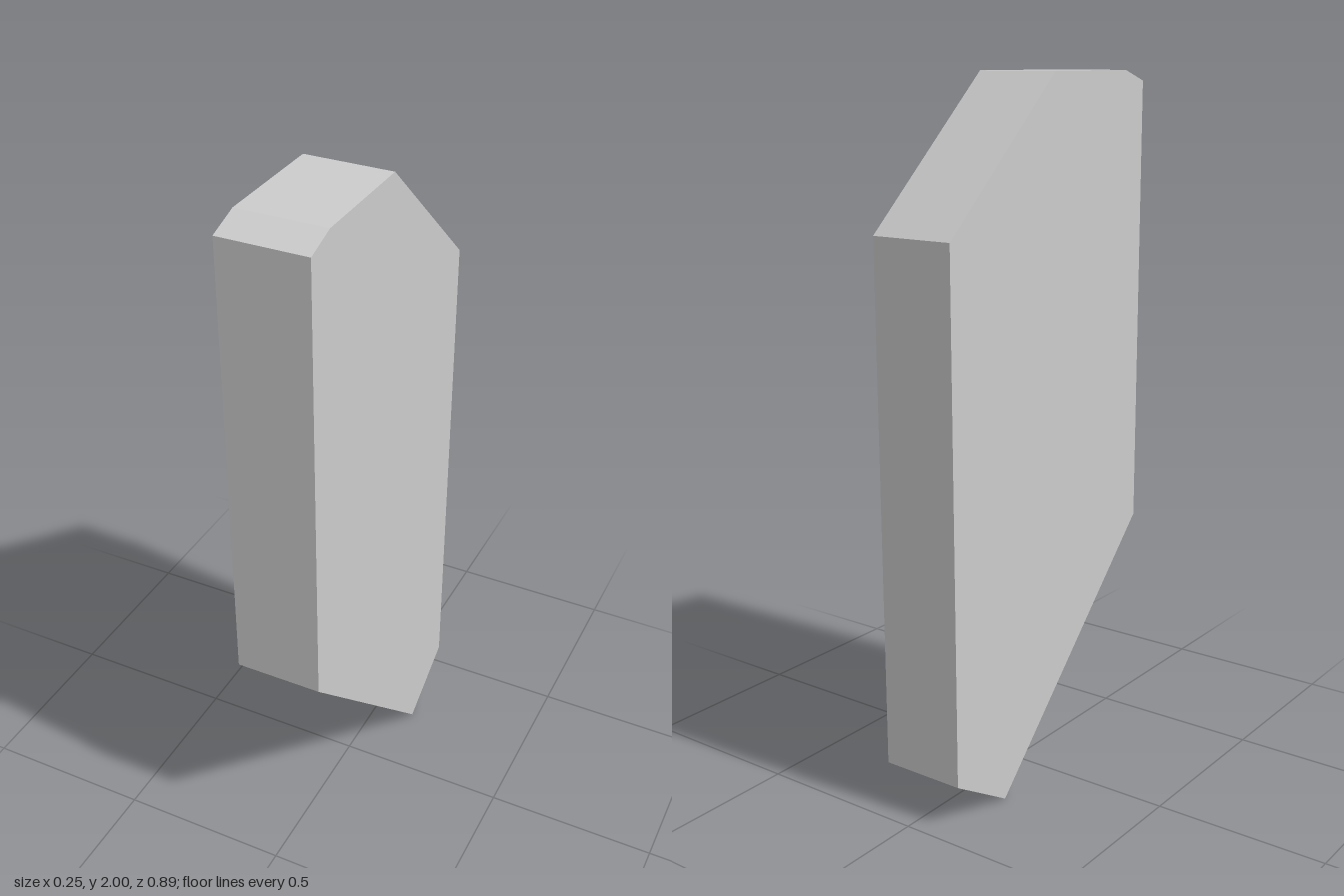
import * as THREE from 'three';

export function createModel() {
  const group = new THREE.Group();
  const width = 0.248;

  // Side outline as [z, y]
  const outline = [
    [0.443, 0.675], [0.222 * -1, 0], [-0.435, 0.127], [-0.443, 1.597],
    [-0.005 + 0.01, 2], [0.35, 2], [0.443, 1.97],
  ].map(([z, y]) => new THREE.Vector2(-z, y));

  // Flat slab extruded across x
  const geometry = new THREE.ExtrudeGeometry(new THREE.Shape(outline), {
    depth: width, bevelEnabled: false,
  });
  geometry.translate(0, 0, -width / 2);
  geometry.rotateY(Math.PI / 2);

  const slab = new THREE.Mesh(
    geometry,
    new THREE.MeshStandardMaterial({ color: 0xcccccc, flatShading: true }),
  );
  slab.name = 'slab';
  group.add(slab);
  return group;
}
